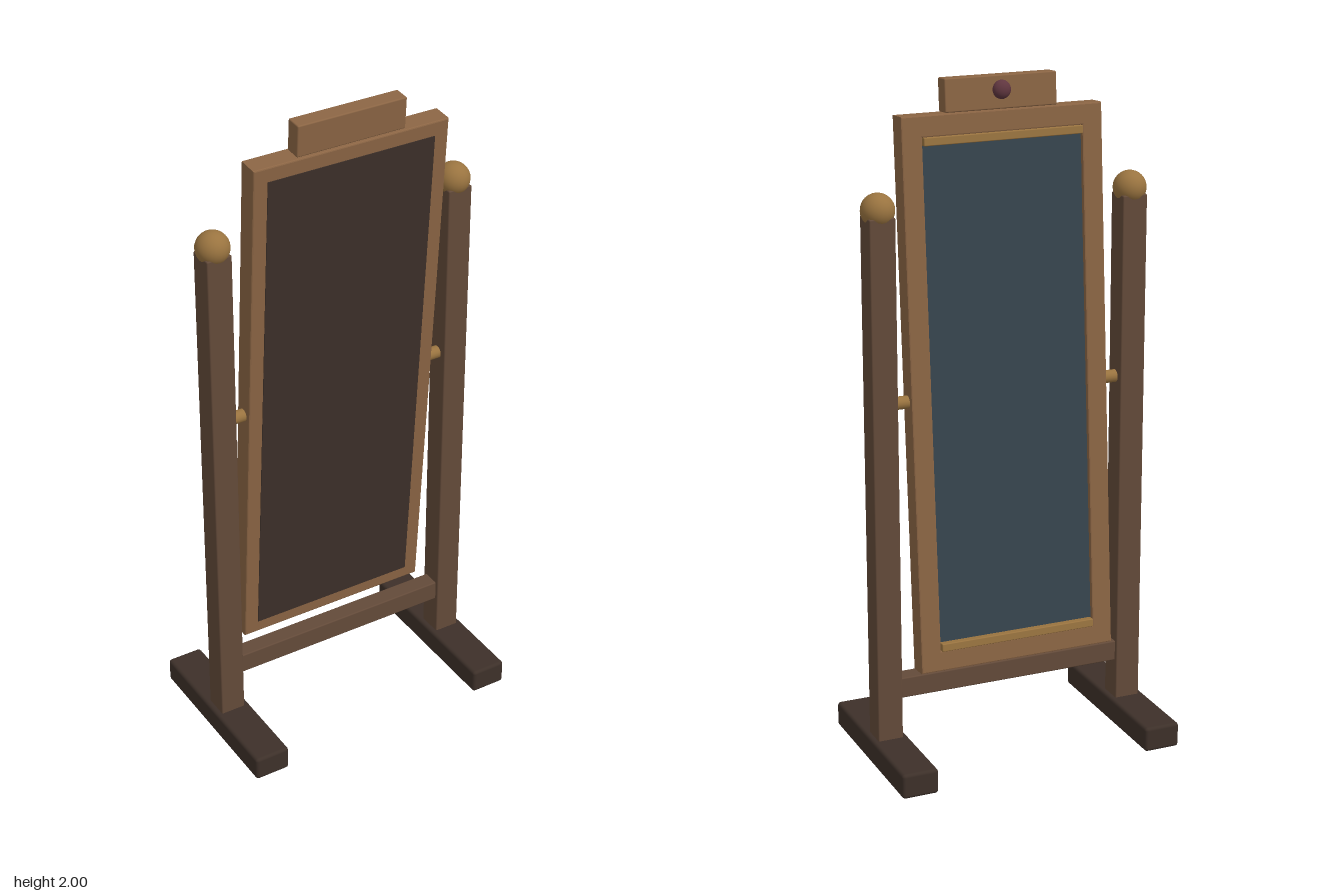
import * as THREE from 'three';
import { RoundedBoxGeometry } from 'three/addons/geometries/RoundedBoxGeometry.js';

const mat = (color) => new THREE.MeshStandardMaterial({ color });
const darkWood = mat(0x3d3029);
const postWood = mat(0x634a39);
const frameWood = mat(0x8b6544);
const brass = mat(0x9a7440);
const glassBlue = mat(0x37454e);
const gemRed = mat(0x60363f);

function add(parent, name, geometry, material, x, y, z) {
  const mesh = new THREE.Mesh(geometry, material);
  mesh.name = name;
  mesh.position.set(x, y, z);
  parent.add(mesh);
  return mesh;
}

const block = (w, h, d, r = 0.004) => new RoundedBoxGeometry(w, h, d, 2, r);

// Rectangular frame with a rectangular opening and softened edges
function frameGeometry(w, h, d, border) {
  const bevel = 0.004;
  const rect = (path, a, b) => path.moveTo(-a, -b).lineTo(a, -b).lineTo(a, b).lineTo(-a, b).closePath();
  const shape = rect(new THREE.Shape(), w / 2, h / 2);
  shape.holes.push(rect(new THREE.Path(), w / 2 - border, h / 2 - border));
  const geometry = new THREE.ExtrudeGeometry(shape, {
    depth: d - 2 * bevel, bevelEnabled: true, bevelSize: bevel,
    bevelThickness: bevel, bevelOffset: -bevel, bevelSegments: 2,
  });
  return geometry.translate(0, 0, bevel - d / 2);
}

export function createModel() {
  const model = new THREE.Group();
  model.name = 'standingMirror';

  // Stand: foot, post, ball and pivot on each side
  for (const s of [1, -1]) {
    const side = s > 0 ? 'left' : 'right';
    add(model, side + 'Foot', block(0.111, 0.076, 0.554, 0.01), darkWood, s * 0.387, 0.038, 0);
    add(model, side + 'Post', block(0.077, 1.57, 0.077), postWood, s * 0.387, 0.855, 0);
    add(model, side + 'Finial', new THREE.SphereGeometry(0.049, 24, 16), brass, s * 0.387, 1.657, 0);
    const pivot = add(model, side + 'Pivot', new THREE.CylinderGeometry(0.019, 0.019, 0.07, 16), brass, s * 0.325, 1.095, 0);
    pivot.rotation.z = Math.PI / 2;
  }
  add(model, 'crossbar', block(0.72, 0.063, 0.055), postWood, 0, 0.228, 0);

  // Tilting mirror, with the glass facing the back
  const mirror = new THREE.Group();
  mirror.name = 'tiltingMirror';
  mirror.position.y = 1.095;
  mirror.rotation.x = 0.07;
  model.add(mirror);

  add(mirror, 'frame', frameGeometry(0.612, 1.62, 0.065, 0.062), frameWood, 0, 0, 0);
  add(mirror, 'backingPanel', new THREE.BoxGeometry(0.525, 1.537, 0.02), darkWood, 0, -0.002, 0.0245);
  add(mirror, 'glass', new THREE.BoxGeometry(0.488, 1.498, 0.036), glassBlue, 0, 0, -0.002);
  for (const s of [1, -1]) {
    add(mirror, s > 0 ? 'upperTrim' : 'lowerTrim', block(0.486, 0.024, 0.026, 0.003), brass, 0, s * 0.737, -0.0285);
  }

  // Crest block with a set stone
  add(mirror, 'crest', block(0.34, 0.095, 0.05), frameWood, 0, 0.858, 0);
  const gem = add(mirror, 'gem', new THREE.SphereGeometry(0.027, 20, 14), gemRed, 0, 0.865, -0.028);
  gem.scale.z = 0.75;

  return model;
}
